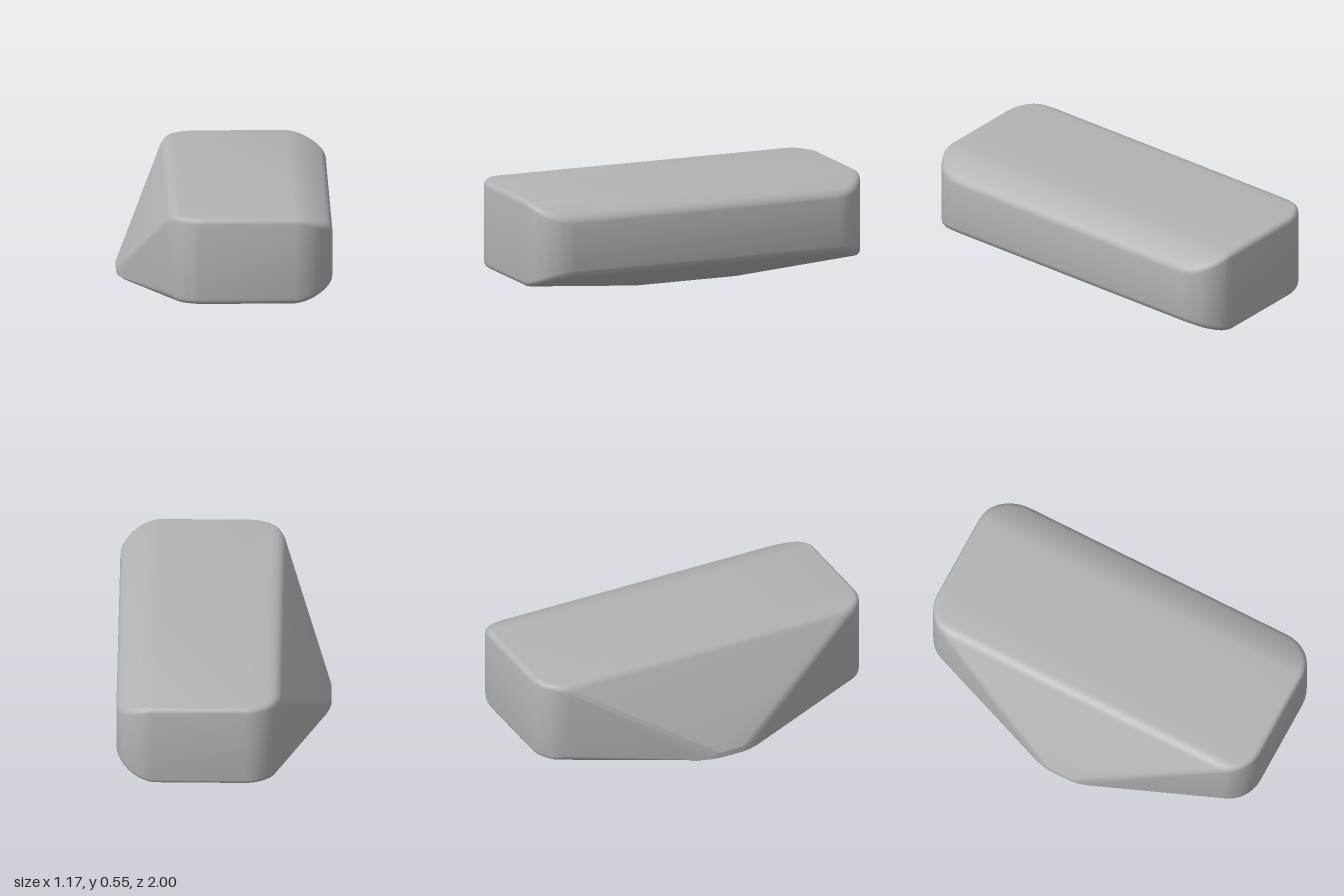
import * as THREE from 'three';
import { ConvexGeometry } from 'three/addons/geometries/ConvexGeometry.js';
import { toCreasedNormals } from 'three/addons/utils/BufferGeometryUtils.js';

const RADIUS = 0.21; // plan corner radius
const BEVEL = 0.03; // small edge rounding
const SEGMENTS = 10;

// How far a point lies into the right or left rounded zone, 0 to 1
const rightBend = (x) => THREE.MathUtils.clamp((x - 0.36) / 0.22, 0, 1);
const leftBend = (x) => THREE.MathUtils.clamp((-0.26 - x) / 0.07, 0, 1);

// Crown and underside heights across the body
const topY = (x) => 0.553 - 0.08 * rightBend(x) ** 1.7 - 0.03 * leftBend(x) ** 2;
const bottomY = (x) => 0.068 + 0.08 * rightBend(x) ** 1.7 + 0.03 * leftBend(x) ** 2;

export function createModel() {
  const points = [];
  const addPair = (x, y, z) => points.push(new THREE.Vector3(x, y, z), new THREE.Vector3(x, y, -z));

  // Rounded slab: plan corners swept through a small bevel at top and bottom
  for (let i = 0; i <= SEGMENTS; i++) {
    const a = (i / SEGMENTS) * Math.PI / 2;
    for (const [cx, side] of [[0.373, 1], [-0.12, -1]]) {
      for (let j = 0; j <= 4; j++) {
        const b = (j / 4) * Math.PI / 2;
        const r = RADIUS - BEVEL * (1 - Math.cos(b));
        const drop = BEVEL * (1 - Math.sin(b));
        const x = cx + side * r * Math.cos(a);
        const z = 0.79 + r * Math.sin(a);
        addPair(x, topY(x) - drop, z);
        addPair(x, bottomY(x) + drop, z);
      }
    }
  }

  // Shallow keel under the slab
  for (const [x, z] of [[0.31, 0.3], [0.07, 0.6], [-0.26, 0.6]]) addPair(x, 0, z);

  // Rounded toe at the foot of the sloping side
  for (const [x, z] of [[-0.585, 0.07], [-0.577, 0.12], [-0.56, 0.17]]) {
    addPair(x, 0.05, z);
    addPair(x, 0.016, z);
    addPair(x + 0.02, 0.004, z);
  }

  const grey = new THREE.MeshStandardMaterial({ color: 0xb3b3b3 });
  grey.name = 'grey';

  const body = new THREE.Mesh(toCreasedNormals(new ConvexGeometry(points), 0.42), grey);
  body.name = 'body';

  const model = new THREE.Group();
  model.name = 'wedgeBlock';
  model.add(body);
  return model;
}
